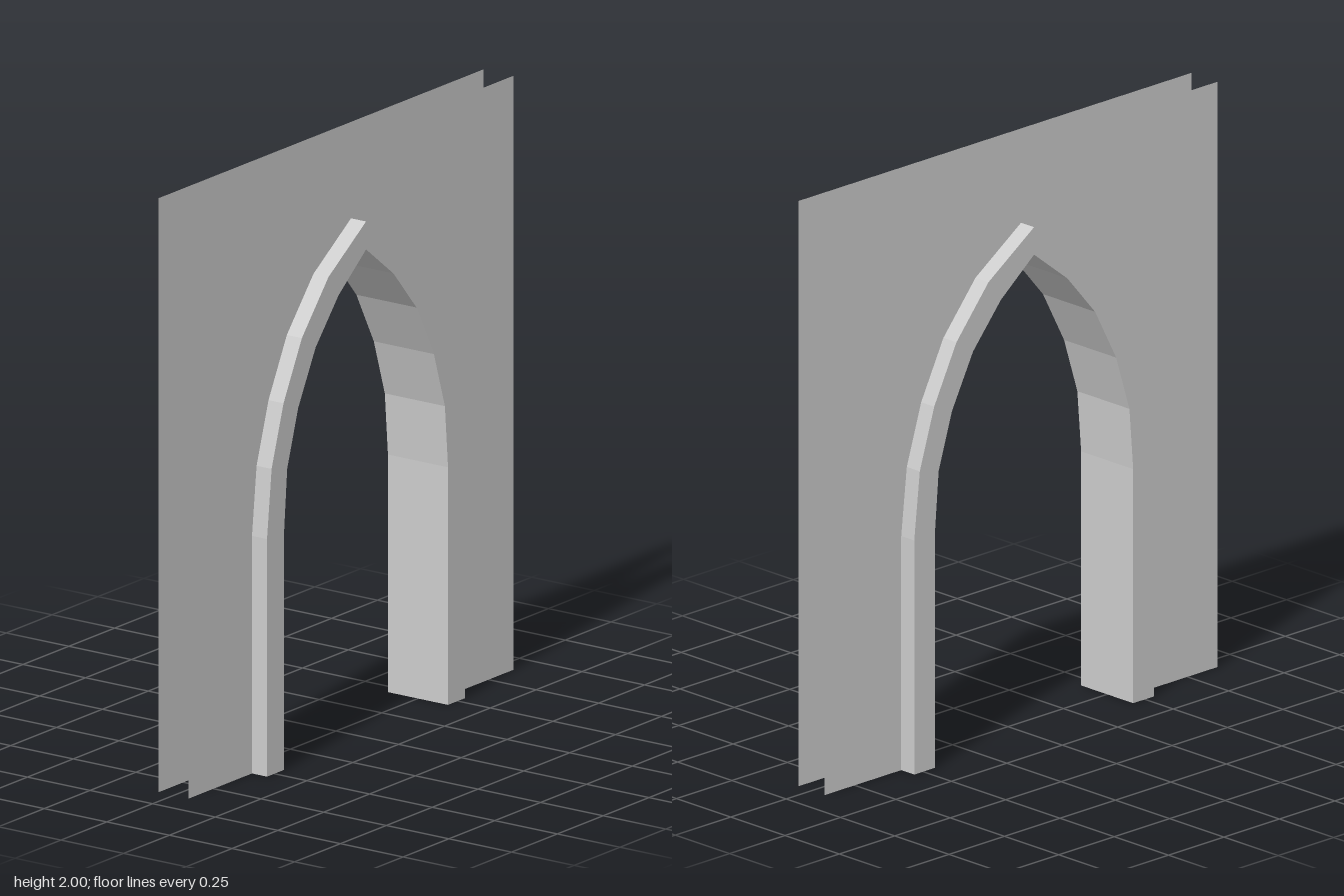
import * as THREE from 'three';

const HALF_WIDTH = 0.885, HEIGHT = 2, WALL_Z = 0.06, FRAME_Z = 0.12;

// Right half of each pointed-arch profile, from the ground to the apex
const OUTER = [[0.54, 0], [0.54, 0.8], [0.515, 1.03], [0.45, 1.235], [0.35, 1.43], [0.205, 1.6], [0, 1.737]];
const INNER = [[0.447, 0], [0.447, 0.8], [0.43, 1.01], [0.37, 1.2], [0.275, 1.38], [0.15, 1.525], [0, 1.643]];

// Mirror a half profile into a full arch running from +x to -x
function fullArch(half) {
  const left = half.slice(0, -1).reverse().map(([x, y]) => [-x, y]);
  return [...half, ...left];
}

// Thin wall sheet with the arch cut out of its lower edge
function wallGeometry() {
  const points = [
    [HALF_WIDTH, 0], [HALF_WIDTH, HEIGHT], [-HALF_WIDTH, HEIGHT], [-HALF_WIDTH, 0],
    ...fullArch(OUTER).reverse(),
  ];
  return new THREE.ShapeGeometry(new THREE.Shape(points.map(([x, y]) => new THREE.Vector2(x, y))));
}

// Hollow rectangular section swept along the arch, open at both feet
function frameGeometry() {
  const outer = fullArch(OUTER), inner = fullArch(INNER);
  const positions = [], indices = [];
  outer.forEach(([ox, oy], i) => {
    const [ix, iy] = inner[i];
    positions.push(ox, oy, FRAME_Z, ix, iy, FRAME_Z, ix, iy, -FRAME_Z, ox, oy, -FRAME_Z);
  });
  for (let i = 0; i < outer.length - 1; i++) {
    for (let j = 0; j < 4; j++) {
      const a = i * 4 + j, d = i * 4 + (j + 1) % 4;
      const b = a + 4, c = d + 4;
      indices.push(a, b, c, a, c, d);
    }
  }
  const indexed = new THREE.BufferGeometry();
  indexed.setAttribute('position', new THREE.Float32BufferAttribute(positions, 3));
  indexed.setIndex(indices);
  const geometry = indexed.toNonIndexed();
  geometry.computeVertexNormals();
  return geometry;
}

export function createModel() {
  const model = new THREE.Group();
  model.name = 'archedWall';
  const material = new THREE.MeshStandardMaterial({
    color: 0xcccccc, flatShading: true, side: THREE.DoubleSide,
  });

  // Front and back wall sheets
  const sheet = wallGeometry();
  for (const side of [1, -1]) {
    const wall = new THREE.Mesh(sheet, material);
    wall.name = side > 0 ? 'frontWall' : 'backWall';
    wall.position.z = side * WALL_Z;
    if (side < 0) wall.rotation.y = Math.PI;
    model.add(wall);
  }

  // Arch frame standing proud of both sheets
  const frame = new THREE.Mesh(frameGeometry(), material);
  frame.name = 'archFrame';
  model.add(frame);

  return model;
}
